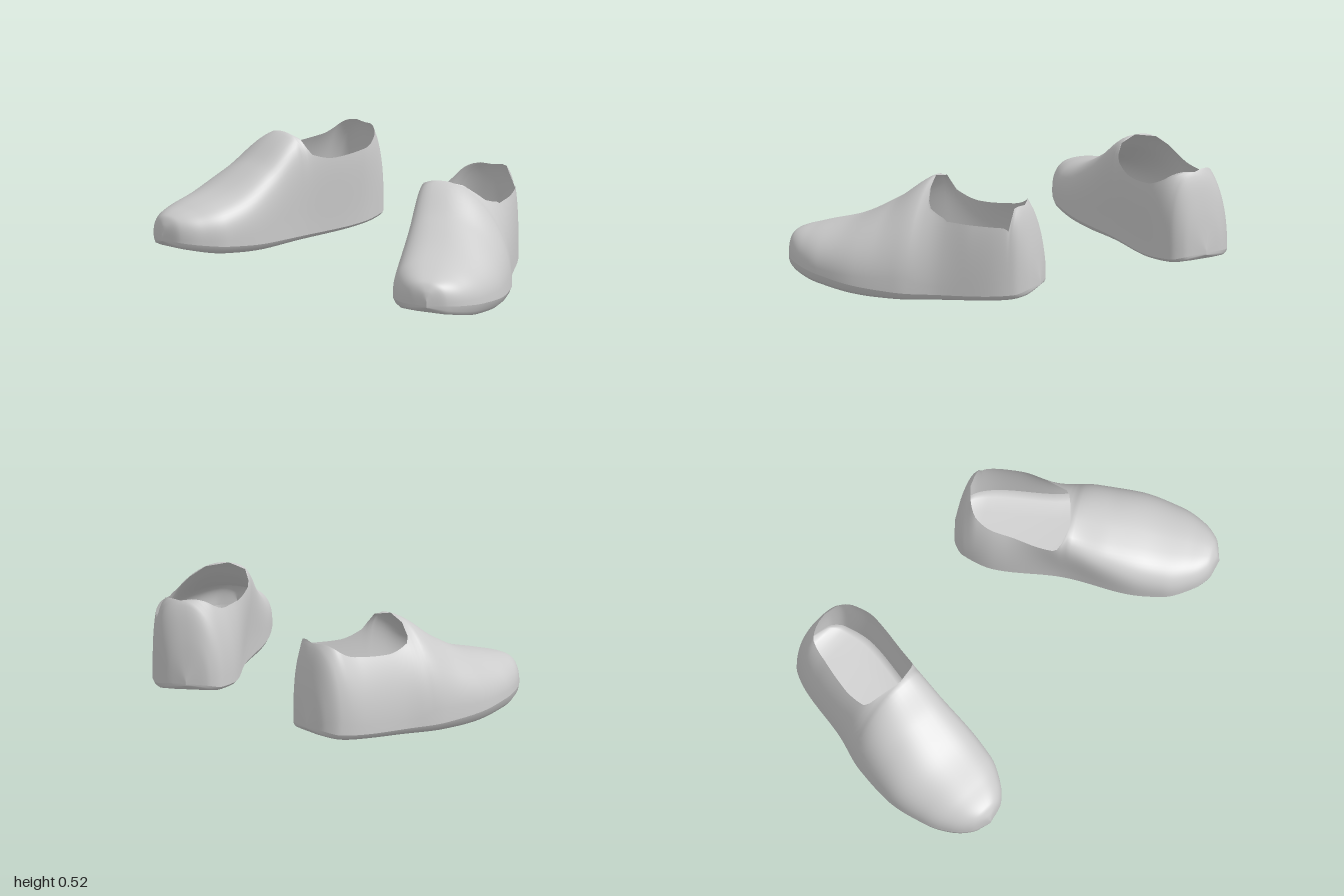
import * as THREE from 'three';

const HALF_LENGTH = 0.62;
const STEPS = 96;      // sections from toe to heel
const SIDE = 16;       // points on each side of the arch
const BOXINESS = 0.8;  // squared-off arch exponent

// Smooth curve through [z, value] knots, without overshoot, constant beyond its ends
function curve(...knots) {
  const last = knots.length - 1;
  const secant = (i) => (knots[i + 1][1] - knots[i][1]) / (knots[i + 1][0] - knots[i][0]);
  const slope = (i) => {
    if (i === 0) return secant(0);
    if (i === last) return secant(last - 1);
    const a = secant(i - 1), b = secant(i);
    return a * b > 0 ? 2 * a * b / (a + b) : 0;
  };
  return (z) => {
    if (z <= knots[0][0]) return knots[0][1];
    if (z >= knots[last][0]) return knots[last][1];
    const i = knots.findIndex((k) => k[0] > z) - 1;
    const d = knots[i + 1][0] - knots[i][0], t = (z - knots[i][0]) / d;
    const s = t * t * (3 - 2 * t);
    return knots[i][1] * (1 - s) + knots[i + 1][1] * s
      + d * t * (1 - t) * ((1 - t) * slope(i) - t * slope(i + 1));
  };
}

// Shape of the shoe along its length, heel to toe
const outer = curve([-0.62, -0.05], [-0.6, 0.045], [-0.55, 0.11], [-0.44, 0.15], [-0.2, 0.185],
  [0, 0.238], [0.2, 0.254], [0.4, 0.218], [0.51, 0.167], [0.59, 0.09], [0.62, 0]);
const inner = curve([-0.62, 0.05], [-0.6, 0.155], [-0.55, 0.206], [-0.4, 0.24], [-0.07, 0.208],
  [0.25, 0.235], [0.4, 0.22], [0.51, 0.17], [0.59, 0.095], [0.62, 0]);
const apex = curve([-0.62, 0.1], [-0.6, 0.29], [-0.572, 0.43], [-0.552, 0.48], [-0.5, 0.545], [-0.28, 0.55],
  [-0.07, 0.522], [0.12, 0.395], [0.31, 0.295], [0.48, 0.247], [0.58, 0.215], [0.61, 0.175], [0.62, 0.13]);
const edge = curve([-0.62, 0.09], [-0.55, 0.067], [-0.1, 0.044], [0.1, 0.052], [0.4, 0.08], [0.62, 0.11]);
const bottom = curve([-0.62, 0.08], [-0.59, 0.052], [-0.5, 0.033], [0.1, 0], [0.4, 0.02], [0.58, 0.063], [0.62, 0.1]);
// how far the wall climbs the arch: 1 closes over the top, less leaves the collar open
const wall = curve([-0.552, 1], [-0.5, 0.79], [-0.42, 0.72], [-0.25, 0.69], [-0.12, 0.78], [-0.07, 1]);

// Lean of the arch top toward the inner side
const rightLean = curve([-0.62, 0], [-0.55, 0.03], [-0.4, 0.09], [-0.07, 0.09], [0.3, 0.05], [0.62, 0]);
const leftLean = curve([-0.62, 0], [-0.55, -0.04], [-0.35, -0.02], [-0.07, 0.13], [0.3, 0.05], [0.62, 0]);

const centre = (z) => (inner(z) - outer(z)) / 2;
const halfWidth = (z) => (inner(z) + outer(z)) / 2;

// One side of the upper's arch, from the sole edge upward (side -1 = outer)
function archSection(z, side, lean, slit) {
  const climb = Math.min(wall(z), 1);
  const low = slit && side < 0 && z < -0.2 && z > -0.53;
  const end = Math.asin(Math.pow(low ? Math.min(climb, 0.68) : climb, 1 / BOXINESS));
  const points = Array.from({ length: SIDE + 1 }, (_, i) => {
    const a = end * i / SIDE;
    const s = Math.pow(Math.sin(a), BOXINESS);
    const c = Math.pow(Math.max(Math.cos(a), 0), BOXINESS);
    return [centre(z) + side * halfWidth(z) * c + lean(z) * s * s, edge(z) + (apex(z) - edge(z)) * s, z];
  });
  return side < 0 ? points : points.reverse();
}

// Shallow bevelled tread, thinner toward the inner side
function soleSection(z) {
  return [[1, 1], [0.95, 0.45], [0.86, 0.1], [0.45, 0], [0, 0], [-0.45, 0], [-0.86, 0.1], [-0.95, 0.45], [-1, 1]]
    .map(([u, v]) => {
      const lift = v + 0.16 * (1 - v) * (1 + u);
      return [centre(z) + u * halfWidth(z), bottom(z) + lift * (edge(z) - bottom(z)), z];
    });
}

// Skin strips of sections running from toe to heel
function loft(sections, mirror) {
  const pos = [], index = [];
  for (const section of sections) {
    const base = pos.length / 3;
    const rows = Array.from({ length: STEPS + 1 }, (_, i) => section(HALF_LENGTH * Math.cos(Math.PI * i / STEPS)));
    const n = rows[0].length;
    rows.forEach((row) => row.forEach(([x, y, z]) => pos.push(mirror * x, y, z)));
    for (let r = 0; r < STEPS; r++) {
      for (let i = 0; i < n - 1; i++) {
        const a = base + r * n + i, b = a + 1, c = a + n, d = c + 1;
        if (mirror > 0) index.push(a, b, c, b, d, c);
        else index.push(a, c, b, b, c, d);
      }
    }
  }
  const geometry = new THREE.BufferGeometry();
  geometry.setAttribute('position', new THREE.Float32BufferAttribute(pos, 3));
  geometry.setIndex(index);
  geometry.computeVertexNormals();
  blendSeam(geometry);
  return geometry;
}

// Share normals where strips meet, so the join along the top stays smooth
function blendSeam({ attributes: { position, normal } }) {
  const seen = new Map();
  for (let i = 0; i < position.count; i++) {
    const key = [position.getX(i), position.getY(i), position.getZ(i)].map((v) => Math.round(v * 1e4)).join();
    if (!seen.has(key)) {
      seen.set(key, i);
      continue;
    }
    const j = seen.get(key);
    const n = new THREE.Vector3().fromBufferAttribute(normal, i)
      .add(new THREE.Vector3().fromBufferAttribute(normal, j)).normalize();
    normal.setXYZ(i, n.x, n.y, n.z);
    normal.setXYZ(j, n.x, n.y, n.z);
  }
}

function makeShoe(name, mirror, lean, slit) {
  const material = new THREE.MeshStandardMaterial({ color: 0xcccccc, side: THREE.DoubleSide });
  const shoe = new THREE.Group();
  shoe.name = name;
  const sides = [-1, 1].map((side) => (z) => archSection(z, side, lean, slit));
  const upper = new THREE.Mesh(loft(sides, mirror), material);
  upper.name = 'upper';
  const sole = new THREE.Mesh(loft([soleSection], mirror), material);
  sole.name = 'sole';
  shoe.add(upper, sole);
  return shoe;
}

export function createModel() {
  const model = new THREE.Group();
  model.name = 'pairOfShoes';

  const right = makeShoe('rightShoe', 1, rightLean, false);
  right.position.x = -0.746;

  // turned outward, with a slit beside the heel tab
  const left = makeShoe('leftShoe', -1, leftLean, true);
  left.position.set(0.57, 0, -0.08);
  left.rotation.y = 0.59;

  model.add(right, left);
  return model;
}
